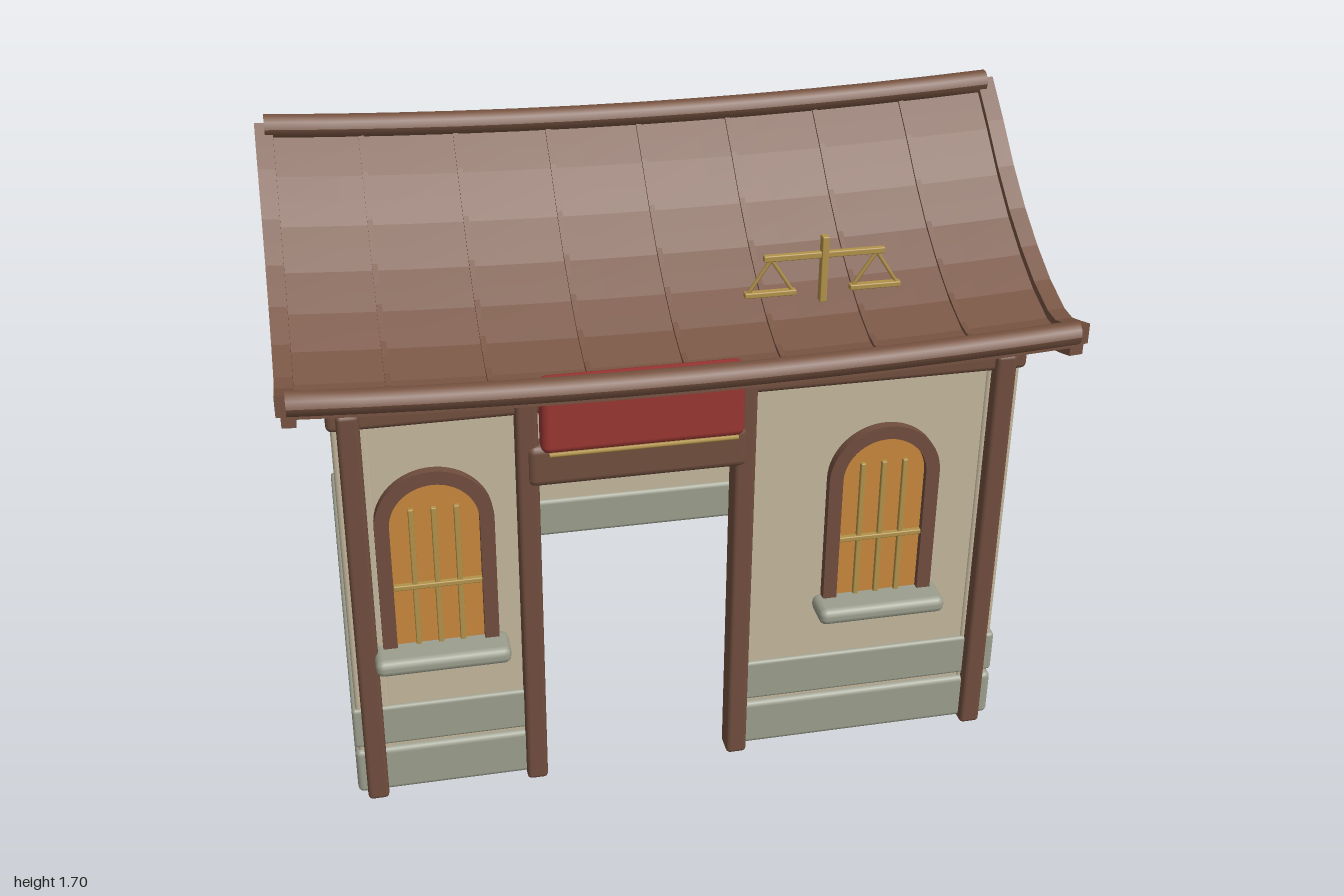
import * as THREE from 'three';
import { RoundedBoxGeometry } from 'three/addons/geometries/RoundedBoxGeometry.js';

const material = (name, color) => {
  const m = new THREE.MeshStandardMaterial({ color });
  m.name = name;
  return m;
};

// Roof height at the gable ends, by distance from the ridge
const PROFILE = [[0, 1.64], [0.1, 1.55], [0.2, 1.453], [0.3, 1.37], [0.4, 1.302],
  [0.5, 1.247], [0.6, 1.209], [0.65, 1.205], [0.7, 1.219], [0.8, 1.25]];

function roofHeight(z) {
  const d = Math.min(Math.abs(z), 0.799);
  const i = PROFILE.findIndex((p) => p[0] > d);
  const [a, b] = [PROFILE[i - 1], PROFILE[i]];
  return a[1] + (b[1] - a[1]) * (d - a[0]) / (b[0] - a[0]);
}

// The roof sags towards the middle of its length
const sag = (x) => 0.03 * ((x / 0.97) ** 2 - 1);

export function createModel() {
  const model = new THREE.Group();
  model.name = 'shop';
  const plaster = material('plaster', 0xc4b69c);
  const stone = material('stone', 0x9c9f8e);
  const wood = material('wood', 0x704e3e);
  const roofWood = material('roofWood', 0x775341);
  const red = material('signRed', 0x983632);
  const gold = material('gold', 0xb2924a);
  const glass = material('amberGlass', 0xc9873c);

  function add(name, geometry, mat, parent = model) {
    const mesh = new THREE.Mesh(geometry, mat);
    mesh.name = name;
    parent.add(mesh);
    return mesh;
  }

  // Rounded box from its limits
  function block(name, mat, [x0, x1], [y0, y1], [z0, z1], r = 0.01, parent = model) {
    const g = new RoundedBoxGeometry(x1 - x0, y1 - y0, z1 - z0, 2, r);
    g.translate((x0 + x1) / 2, (y0 + y1) / 2, (z0 + z1) / 2);
    return add(name, g, mat, parent);
  }

  // Thin rod between two points
  function rod(name, mat, a, b, r, parent = model) {
    const p = new THREE.Vector3(...a), q = new THREE.Vector3(...b);
    const mesh = add(name, new THREE.CylinderGeometry(r, r, p.distanceTo(q), 6), mat, parent);
    mesh.position.copy(p).add(q).multiplyScalar(0.5);
    mesh.quaternion.setFromUnitVectors(new THREE.Vector3(0, 1, 0), q.sub(p).normalize());
  }

  // Side walls with two stone courses each
  for (const s of [-1, 1]) {
    const span = (a, b) => (s > 0 ? [a, b] : [-b, -a]);
    block('sideWall', plaster, span(0.79, 0.88), [0.02, 1.14], [-0.625, 0.635]);
    block('sideUpperStone', stone, span(0.78, 0.89), [0.157, 0.28], [-0.63, 0.64]);
    block('sideLowerStone', stone, span(0.78, 0.89), [0.01, 0.147], [-0.64, 0.645], 0.015);
  }

  // Back wall with one stone course
  block('backWall', plaster, [-0.88, 0.88], [0.02, 1.14], [-0.63, -0.54]);
  block('backStone', stone, [-0.885, 0.885], [0.01, 0.147], [-0.645, -0.53], 0.015);

  // Front walls on both sides of the doorway
  for (const [x0, x1] of [[-0.88, -0.41], [0.15, 0.88]]) {
    block('frontWall', plaster, [x0, x1], [0.02, 1.14], [0.54, 0.63]);
    block('frontUpperStone', stone, [x0, x1], [0.157, 0.28], [0.535, 0.64]);
    block('frontLowerStone', stone, [x0, x1], [0.01, 0.147], [0.535, 0.645], 0.015);
  }
  block('wallAboveDoor', plaster, [-0.42, 0.16], [0.98, 1.14], [0.54, 0.63]);

  // Timber frame
  for (const x of [-0.8375, -0.4075, 0.1475, 0.83]) {
    block('frontPost', wood, [x - 0.028, x + 0.028], [0, 1.165], [0.6, 0.668], 0.012);
  }
  block('topBeam', wood, [-0.89, 0.89], [1.115, 1.195], [0.535, 0.655], 0.015);
  block('doorLintel', wood, [-0.41, 0.15], [0.92, 1.035], [0.57, 0.677], 0.02);

  // Hanging sign
  block('signBoard', red, [-0.383, 0.125], [1.045, 1.245], [0.685, 0.74], 0.02);
  rod('signTrim', gold, [-0.365, 1.05, 0.745], [0.105, 1.05, 0.745], 0.006);

  // Arched windows
  const arch = (r, bottom) => {
    const s = new THREE.Shape();
    s.moveTo(-r, bottom);
    s.lineTo(r, bottom);
    s.lineTo(r, 0.835);
    s.absarc(0, 0.835, r, 0, Math.PI, false);
    s.lineTo(-r, bottom);
    return s;
  };
  for (const x of [-0.645, 0.5275]) {
    const win = new THREE.Group();
    win.name = 'window';
    win.position.x = x;
    model.add(win);
    const frame = arch(0.15, 0.45);
    frame.holes.push(arch(0.113, 0.46));
    const frameGeo = new THREE.ExtrudeGeometry(frame, { depth: 0.035, bevelEnabled: false, curveSegments: 16 });
    add('windowFrame', frameGeo, wood, win).position.z = 0.62;
    const paneGeo = new THREE.ExtrudeGeometry(arch(0.114, 0.455), { depth: 0.009, bevelEnabled: false, curveSegments: 16 });
    add('windowPane', paneGeo, glass, win).position.z = 0.628;
    for (const dx of [-0.057, 0, 0.057]) {
      block('windowBar', gold, [dx - 0.007, dx + 0.007], [0.47, 0.877], [0.634, 0.648], 0.003, win);
    }
    block('windowCrossbar', gold, [-0.113, 0.113], [0.645, 0.659], [0.636, 0.652], 0.003, win);
    block('windowSill', stone, [-0.174, 0.174], [0.428, 0.475], [0.62, 0.72], 0.02, win);
  }

  // Bends a flat geometry onto the curved roof and gives it facets
  function bend(g, lift = 0) {
    const p = g.attributes.position;
    for (let i = 0; i < p.count; i++) {
      p.setY(i, p.getY(i) + lift + roofHeight(p.getZ(i)) + sag(p.getX(i)));
    }
    const flat = g.toNonIndexed();
    flat.computeVertexNormals();
    return flat;
  }
  const roof = new THREE.Group();
  roof.name = 'roof';
  model.add(roof);
  add('roofSheet', bend(new THREE.BoxGeometry(1.93, 0.04, 1.5, 12, 1, 30)), roofWood, roof);

  // Raised seams and gable boards
  for (let i = -3; i <= 3; i++) {
    const g = new THREE.BoxGeometry(0.014, 0.02, 1.46, 1, 1, 30).translate(i * 0.244, 0, 0);
    add('roofSeam', bend(g, 0.018), roofWood, roof);
  }
  for (const s of [-1, 1]) {
    const outer = new THREE.BoxGeometry(0.045, 0.055, 1.5, 1, 1, 30).translate(s * 0.9775, 0, 0);
    add('gableBoard', bend(outer, 0.014), roofWood, roof);
    const under = new THREE.BoxGeometry(0.034, 0.035, 1.5, 1, 1, 30).translate(s * 0.972, 0, 0);
    add('gableUnderBoard', bend(under, -0.024), roofWood, roof);
  }

  // Ridge and eave poles follow the sag
  function pole(name, y, z, r) {
    const g = new THREE.CylinderGeometry(r, r, 1.95, 10, 12).rotateZ(Math.PI / 2);
    const p = g.attributes.position;
    for (let i = 0; i < p.count; i++) p.setY(i, p.getY(i) + sag(p.getX(i)));
    g.computeVertexNormals();
    add(name, g, roofWood, roof).position.set(0, y, z);
  }
  pole('ridgePole', 1.672, 0, 0.031);
  for (const s of [-1, 1]) pole('eavePole', 1.25, s * 0.738, 0.031);

  // Balance scales above the front slope
  const scales = new THREE.Group();
  scales.name = 'balanceScales';
  scales.position.set(0.353, 0, 0.585);
  model.add(scales);
  block('scalesPost', gold, [-0.009, 0.009], [1.325, 1.5], [-0.012, 0.012], 0.003, scales);
  block('scalesBeam', gold, [-0.155, 0.155], [1.443, 1.459], [-0.008, 0.008], 0.003, scales);
  for (const s of [-1, 1]) {
    const x = s * 0.135;
    for (const d of [-0.058, 0.058]) {
      rod('scalesChain', gold, [x, 1.447, 0], [x + d, 1.358, 0], 0.005, scales);
    }
    block('scalesPan', gold, [x - 0.066, x + 0.066], [1.35, 1.364], [-0.01, 0.01], 0.003, scales);
  }
  return model;
}
